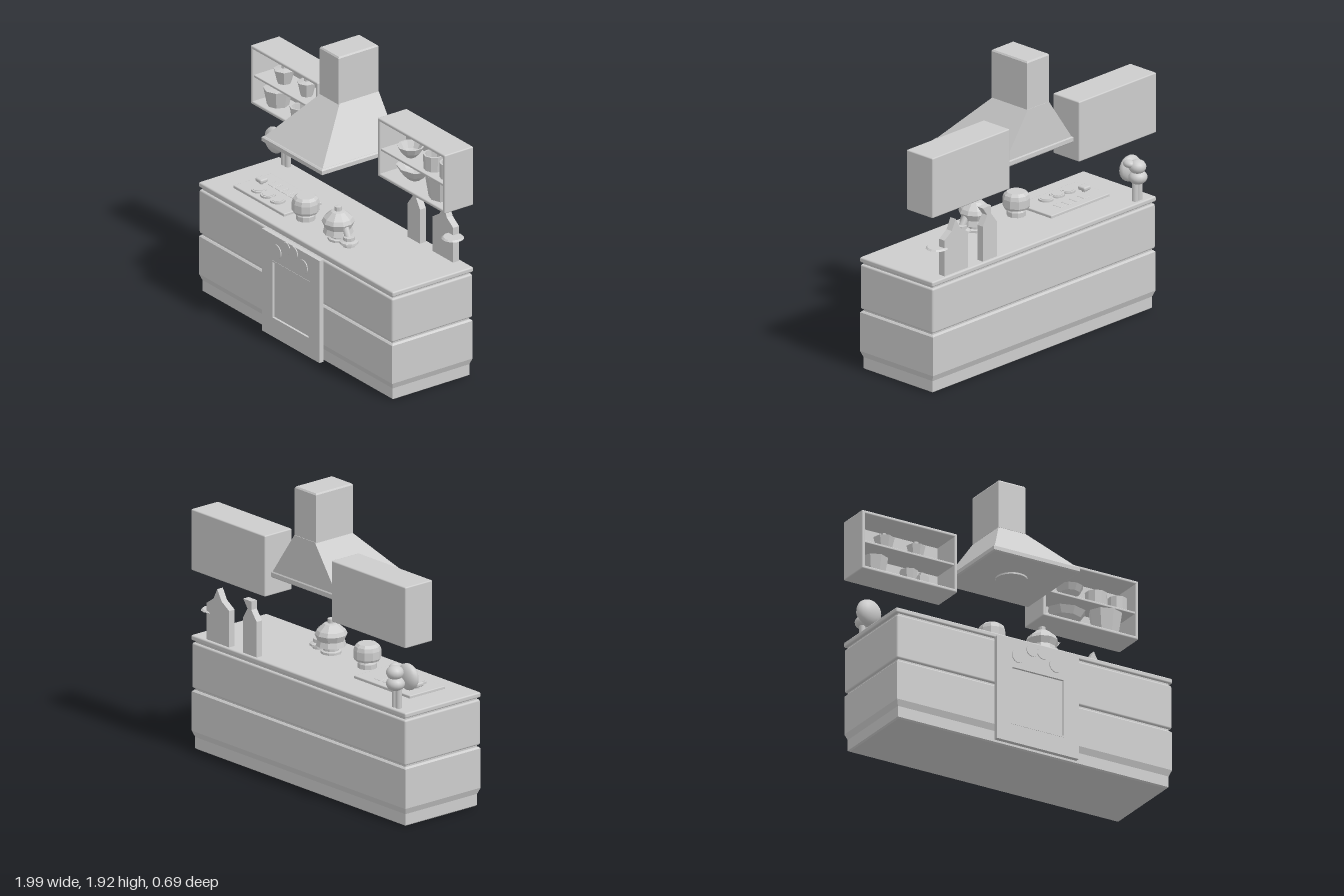
import * as THREE from 'three';
import { RoundedBoxGeometry } from 'three/addons/geometries/RoundedBoxGeometry.js';

export function createModel() {
  const kitchen = new THREE.Group();
  kitchen.name = 'kitchen';
  const grey = new THREE.MeshStandardMaterial({ color: 0xcccccc });
  grey.name = 'grey';

  function add(name, geometry, x = 0, y = 0, z = 0, parent = kitchen) {
    const mesh = new THREE.Mesh(geometry, grey);
    mesh.name = name;
    mesh.position.set(x, y, z);
    parent.add(mesh);
    return mesh;
  }
  // Rounded box given by its limits
  function block(name, x0, x1, y0, y1, z0, z1, r = 0.008, parent = kitchen) {
    return add(name, new RoundedBoxGeometry(x1 - x0, y1 - y0, z1 - z0, 2, r),
      (x0 + x1) / 2, (y0 + y1) / 2, (z0 + z1) / 2, parent);
  }
  // Flat-sided solid through stacked rectangles [y, x0, x1, z0, z1]
  function loft(rows) {
    const rings = rows.map(([y, x0, x1, z0, z1]) =>
      [[x0, y, z1], [x1, y, z1], [x1, y, z0], [x0, y, z0]]);
    const p = [];
    const quad = (a, b, c, d) => [a, b, c, a, c, d].forEach(v => p.push(...v));
    for (let i = 0; i < rings.length - 1; i++) {
      for (let k = 0; k < 4; k++) {
        const n = (k + 1) % 4;
        quad(rings[i][k], rings[i][n], rings[i + 1][n], rings[i + 1][k]);
      }
    }
    const last = rings[rings.length - 1];
    quad(last[0], last[1], last[2], last[3]);
    quad(rings[0][3], rings[0][2], rings[0][1], rings[0][0]);
    const g = new THREE.BufferGeometry();
    g.setAttribute('position', new THREE.Float32BufferAttribute(p, 3));
    g.computeVertexNormals();
    return g;
  }
  // Low-sided turned vessel, profile as [radius, height] pairs
  function vessel(name, x, y, z, profile, sides = 10, parent = kitchen) {
    const g = new THREE.LatheGeometry(profile.map(([r, h]) => new THREE.Vector2(r, h)), sides).toNonIndexed();
    g.computeVertexNormals();
    return add(name, g, x, y, z, parent);
  }
  function disc(name, x, y, z, r, h, parent = kitchen, sides = 20) {
    return add(name, new THREE.CylinderGeometry(r, r, h, sides), x, y, z, parent);
  }
  function extrude(name, points, z, depth, hole) {
    const shape = new THREE.Shape(points.map(([x, y]) => new THREE.Vector2(x, y)));
    if (hole) shape.holes.push(new THREE.Path(hole.map(([x, y]) => new THREE.Vector2(x, y))));
    return add(name, new THREE.ExtrudeGeometry(shape, { depth, bevelEnabled: false }), 0, 0, z);
  }
  const rect = (x0, x1, y0, y1) => [[x0, y0], [x1, y0], [x1, y1], [x0, y1]];

  // Cabinet: stepped plinth, two drawer tiers, recessed gaps and counter
  add('lowerCabinet', loft([
    [0, -0.965, 0.965, -0.29, 0.275], [0.008, -0.975, 0.975, -0.3, 0.285],
    [0.08, -0.975, 0.975, -0.3, 0.285], [0.12, -0.99, 0.99, -0.315, 0.3],
    [0.375, -0.99, 0.99, -0.315, 0.3], [0.385, -0.98, 0.98, -0.305, 0.29]]));
  block('cabinetCore', -0.975, 0.975, 0.3, 0.72, -0.3, 0.285, 0.004);
  block('upperCabinet', -0.99, 0.99, 0.398, 0.692, -0.315, 0.3, 0.012);
  block('counter', -0.995, 0.995, 0.706, 0.74, -0.318, 0.3, 0.01);

  // Oven door with a sunken window and four dials
  extrude('ovenDoor', rect(-0.295, 0.295, 0.01, 0.7), 0.308, 0.03, rect(-0.185, 0.185, 0.14, 0.515));
  block('ovenWindow', -0.19, 0.19, 0.135, 0.52, 0.308, 0.324, 0.003);
  extrude('windowFrame', rect(-0.195, 0.195, 0.13, 0.525), 0.337, 0.003, rect(-0.185, 0.185, 0.14, 0.515));
  block('ovenMount', -0.27, 0.27, 0.04, 0.68, 0.29, 0.312, 0.003);
  for (const [x, y, r] of [[-0.14, 0.6, 0.047], [0.13, 0.6, 0.047], [-0.042, 0.66, 0.04], [0.035, 0.66, 0.04]]) {
    disc('ovenDial', x, y, 0.339, r, 0.01).rotation.x = Math.PI / 2;
  }

  // Extractor hood
  add('hoodRim', loft([
    [1.278, -0.3, 0.3, -0.265, 0.32], [1.285, -0.31, 0.31, -0.27, 0.33],
    [1.31, -0.31, 0.31, -0.27, 0.33], [1.318, -0.3, 0.3, -0.265, 0.32]]));
  add('hoodCanopy', loft([[1.315, -0.298, 0.298, -0.265, 0.318], [1.605, -0.095, 0.095, -0.265, 0.035]]));
  add('hoodChimney', loft([
    [1.6, -0.1, 0.095, -0.262, 0.042], [1.91, -0.1, 0.095, -0.262, 0.042],
    [1.92, -0.093, 0.088, -0.255, 0.035]]));
  disc('hoodLamp', 0, 1.274, 0.03, 0.1, 0.014);

  // Open wall shelves
  for (const [name, x0, x1, mid] of [['rightShelf', -0.995, -0.308, 1.358], ['leftShelf', 0.308, 0.995, 1.35]]) {
    const shelf = new THREE.Group();
    shelf.name = name;
    kitchen.add(shelf);
    const t = 0.022, z0 = -0.318, z1 = -0.097;
    block('shelfTop', x0, x1, 1.555 - t, 1.555, z0, z1, 0.008, shelf);
    block('shelfBottom', x0, x1, 1.16, 1.16 + t, z0, z1, 0.008, shelf);
    block('shelfSide', x0, x0 + t, 1.16, 1.555, z0, z1, 0.008, shelf);
    block('shelfSide', x1 - t, x1, 1.16, 1.555, z0, z1, 0.008, shelf);
    block('shelfBack', x0 + 0.003, x1 - 0.003, 1.163, 1.552, z0, z0 + 0.02, 0.006, shelf);
    block('shelfBoard', x0 + 0.01, x1 - 0.01, mid - 0.016, mid, z0 + 0.01, z1 - 0.01, 0.004, shelf);
  }

  // Crockery on the shelves
  const jar = (r0, r1, h) => [[0, 0], [r0, 0], [r1, h], [r1 - 0.012, h], [r0 - 0.012, 0.015], [0, 0.015]];
  const lidded = (r0, r1, h) => [[0, 0], [r0, 0], [r1, h], [0.018, h + 0.008], [0.018, h + 0.03], [0, h + 0.03]];
  const bowl = (r, h) => [[0, 0], [r * 0.35, 0], [r * 0.75, h * 0.45], [r, h], [r - 0.012, h], [r * 0.6, h * 0.45], [0, 0.015]];
  vessel('lidPot', -0.78, 1.358, -0.195, lidded(0.045, 0.068, 0.09), 7);
  vessel('lidPot', -0.55, 1.358, -0.195, lidded(0.04, 0.06, 0.09), 7);
  vessel('tallPot', -0.85, 1.182, -0.2, lidded(0.07, 0.092, 0.11), 8);
  vessel('sugarBowl', -0.61, 1.182, -0.18, jar(0.045, 0.058, 0.08), 8);
  vessel('milkJug', -0.505, 1.182, -0.2, lidded(0.045, 0.048, 0.07), 8);
  vessel('smallBowl', 0.545, 1.36, -0.175, bowl(0.086, 0.075));
  vessel('cup', 0.75, 1.35, -0.2, jar(0.065, 0.07, 0.1));
  vessel('cup', 0.905, 1.35, -0.2, jar(0.06, 0.062, 0.1));
  vessel('largeBowl', 0.54, 1.2, -0.2, bowl(0.13, 0.085), 8).scale.z = 0.75;
  vessel('storagePot', 0.82, 1.182, -0.2, jar(0.085, 0.112, 0.155), 8).scale.z = 0.85;

  // Hob with burners, buttons and a control knob
  block('hobPlate', -0.8, -0.28, 0.735, 0.758, -0.11, 0.18, 0.006);
  for (const x of [-0.645, -0.55, -0.452]) {
    disc('burner', x, 0.763, 0.1, 0.048, 0.014);
    disc('burnerCap', x, 0.766, 0.1, 0.036, 0.014);
  }
  for (let i = 0; i < 4; i++) {
    block('hobButton', -0.68 + i * 0.07, -0.625 + i * 0.07, 0.75, 0.761, -0.06, 0.005, 0.003);
  }
  disc('knobStem', -0.715, 0.765, 0.025, 0.015, 0.03);
  block('hobKnob', -0.745, -0.685, 0.77, 0.797, -0.005, 0.055, 0.01);

  // Pot, kettle and small cup on the counter
  vessel('pot', -0.178, 0.74, 0.09, [
    [0, 0], [0.06, 0], [0.06, 0.03], [0.048, 0.05], [0.078, 0.05], [0.086, 0.065],
    [0.086, 0.115], [0.078, 0.14], [0.06, 0.156], [0, 0.156]]);
  vessel('kettle', 0.175, 0.74, 0.105, [
    [0, 0], [0.065, 0], [0.065, 0.015], [0.05, 0.02], [0.05, 0.05], [0.095, 0.05], [0.085, 0.085],
    [0.102, 0.125], [0.09, 0.15], [0.045, 0.19], [0.022, 0.195], [0.022, 0.222], [0, 0.225]]);
  const spoutPath = new THREE.LineCurve3(new THREE.Vector3(0.235, 0.87, 0.105), new THREE.Vector3(0.285, 0.79, 0.11));
  add('kettleSpout', new THREE.TubeGeometry(spoutPath, 1, 0.022, 8));
  vessel('smallCup', 0.292, 0.74, 0.11, [
    [0, 0], [0.04, 0], [0.04, 0.015], [0.06, 0.02], [0.058, 0.032], [0.036, 0.04], [0.036, 0.062], [0, 0.065]]);

  // Cutting boards leaning at the back, with a small round tray
  extrude('smallBoard', [[0.405, 0.738], [0.53, 0.738], [0.53, 0.97], [0.49, 1.035], [0.53, 1.09],
    [0.455, 1.09], [0.455, 1.035], [0.405, 0.97]], -0.3, 0.045);
  extrude('largeBoard', [[0.66, 0.738], [0.87, 0.738], [0.87, 0.975], [0.805, 1.02], [0.77, 1.09],
    [0.745, 1.045], [0.73, 1.02], [0.66, 0.975]], -0.3, 0.045);
  vessel('tray', 0.88, 0.905, -0.245, [[0, 0], [0.035, 0], [0.07, 0.01], [0.06, 0.02], [0, 0.02]], 14);

  // Bouquet of rounded heads on two stems
  for (const x of [-0.885, -0.85]) disc('stem', x, 0.82, -0.275, 0.02, 0.17, kitchen, 10);
  for (const [x, y, z, rx, ry, rz] of [
    [-0.885, 0.925, -0.2, 0.086, 0.085, 0.045], [-0.865, 0.895, -0.285, 0.06, 0.045, 0.058],
    [-0.86, 0.965, -0.285, 0.055, 0.045, 0.055], [-0.82, 0.985, -0.25, 0.03, 0.025, 0.04]]) {
    add('flowerHead', new THREE.SphereGeometry(1, 16, 12), x, y, z).scale.set(rx, ry, rz);
  }
  return kitchen;
}
